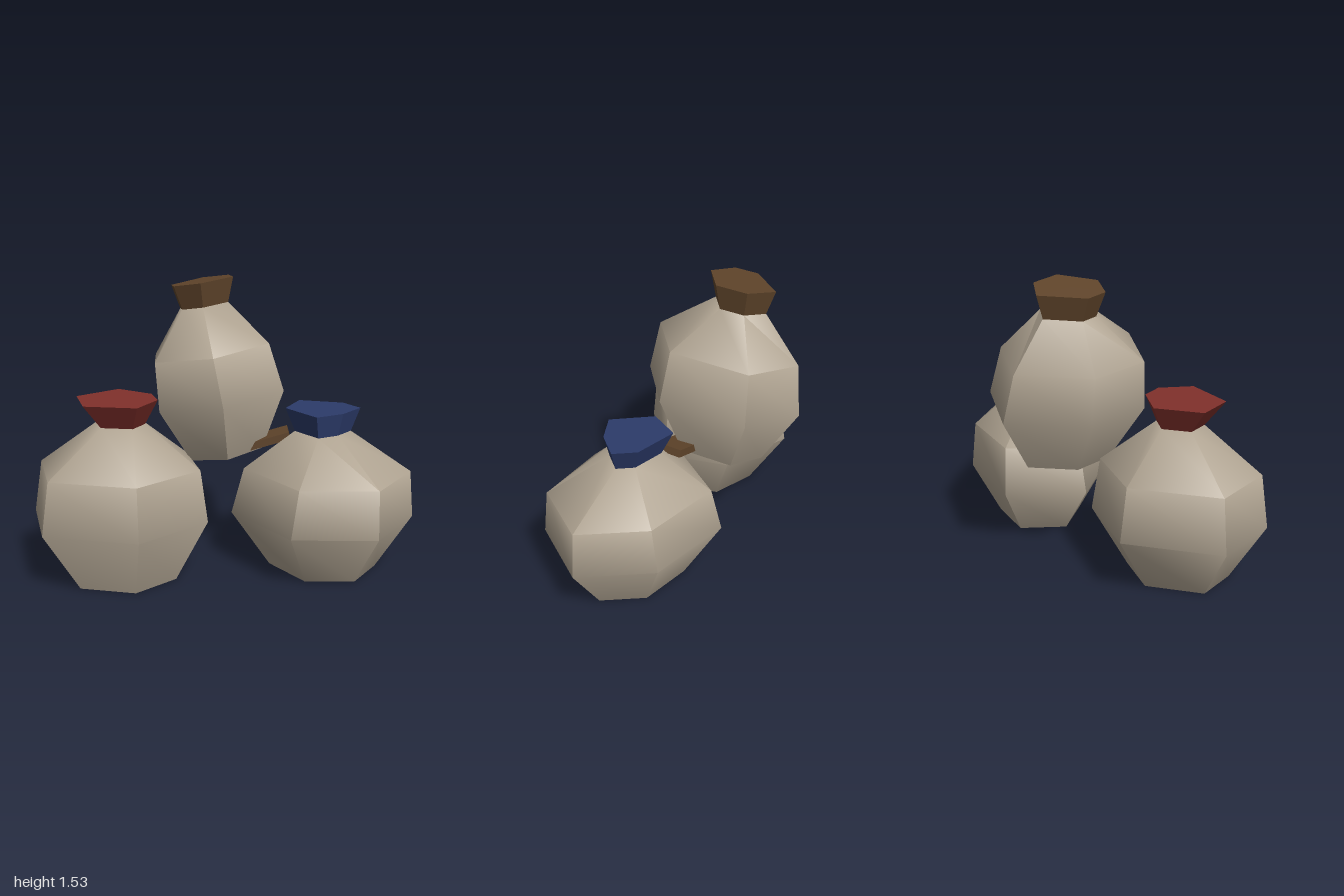
import * as THREE from 'three';
import { toCreasedNormals } from 'three/addons/utils/BufferGeometryUtils.js';

const paint = (name, color, flatShading = false) => {
  const m = new THREE.MeshStandardMaterial({ color, flatShading });
  m.name = name;
  return m;
};

// Scale a hexagon of [x, z] corners about a hub, then slide it along x
const shrink = (hex, s, [cx, cz], slide = 0) =>
  hex.map(([x, z]) => [cx + (x - cx) * s + slide, cz + (z - cz) * s]);

// Skin a stack of rings { hex, y }, closing both ends; lean slopes every ring
function loft(rings, [leanX, leanZ], crease) {
  const loops = rings.map(({ hex, y }) =>
    hex.map(([x, z]) => new THREE.Vector3(x, y + leanX * x + leanZ * z, z)));
  const pos = [];
  const tri = (...pts) => pts.forEach((p) => pos.push(p.x, p.y, p.z));
  const centre = (loop) =>
    loop.reduce((s, p) => s.add(p), new THREE.Vector3()).divideScalar(loop.length);
  const first = loops[0], last = loops[loops.length - 1];
  const low = centre(first), high = centre(last);
  for (let i = 0; i < 6; i++) {
    const j = (i + 1) % 6;
    for (let k = 0; k < loops.length - 1; k++) {
      const a = loops[k], b = loops[k + 1];
      tri(a[i], b[j], a[j]);
      tri(a[i], b[i], b[j]);
    }
    tri(low, first[i], first[j]);
    tri(high, last[j], last[i]);
  }
  const g = new THREE.BufferGeometry();
  g.setAttribute('position', new THREE.Float32BufferAttribute(pos, 3));
  return toCreasedNormals(g, crease);
}

// One sack: a waist and a mouth hexagon give the base, shoulder and neck
function makeSack(name, cloth, mouthCloth, { waist, rim, hub, mouthHub, pinch, heights, slide, lean }) {
  const hexes = [
    shrink(waist, 0.59, hub),
    waist,
    shrink(waist, 0.91, hub, slide),
    shrink(rim, pinch, mouthHub),
    rim,
  ];
  const rings = hexes.map((hex, i) => ({ hex, y: heights[i] }));
  const body = new THREE.Mesh(loft(rings.slice(0, 4), lean, 0.9), cloth);
  body.name = 'sackBody';
  const mouth = new THREE.Mesh(loft(rings.slice(3), lean, 0.1), mouthCloth);
  mouth.name = 'sackMouth';
  const sack = new THREE.Group();
  sack.name = name;
  sack.add(body, mouth);
  return sack;
}

export function createModel() {
  const model = new THREE.Group();
  model.name = 'sackPile';
  const cloth = paint('sackCloth', 0xb0a492);
  const red = paint('redCloth', 0x80302b, true);
  const blue = paint('blueCloth', 0x2c3b6a, true);
  const brown = paint('brownCloth', 0x60452b, true);

  // Hexagons run right, front right, front left, left, back left, back right
  model.add(makeSack('leftSack', cloth, blue, {
    waist: [[1, 0.08], [0.78, 0.43], [0.34, 0.43], [0.04, 0.04], [0.28, -0.33], [0.75, -0.25]],
    rim: [[0.71, 0.03], [0.61, 0.15], [0.47, 0.22], [0.32, 0.04], [0.4, -0.12], [0.63, -0.07]],
    hub: [0.54, 0.07], mouthHub: [0.52, 0.09], pinch: 0.75,
    heights: [0, 0.29, 0.54, 0.75, 0.87], slide: 0.02, lean: [0, 0],
  }));

  model.add(makeSack('rightSack', cloth, red, {
    waist: [[-0.08, 0.26], [-0.41, 0.56], [-0.9, 0.47], [-1, 0.09], [-0.59, -0.23], [-0.18, -0.09]],
    rim: [[-0.33, 0.22], [-0.42, 0.38], [-0.69, 0.35], [-0.75, 0.15], [-0.55, 0], [-0.37, 0.1]],
    hub: [-0.49, 0.26], mouthHub: [-0.5, 0.18], pinch: 0.6,
    heights: [0, 0.32, 0.6, 0.83, 0.96], slide: 0, lean: [0, 0],
  }));

  model.add(makeSack('topSack', cloth, brown, {
    waist: [[0.31, 0.02], [0, 0.29], [-0.33, 0.13], [-0.35, -0.22], [-0.08, -0.56], [0.24, -0.43]],
    rim: [[0.045, -0.14], [-0.12, -0.01], [-0.26, -0.07], [-0.28, -0.19], [-0.12, -0.38], [0.02, -0.3]],
    hub: [0.05, -0.13], mouthHub: [-0.07, -0.18], pinch: 0.78,
    heights: [0.6, 0.91, 1.17, 1.4, 1.53], slide: -0.055, lean: [0.15, 0.065],
  }));

  // Small brown wedge tucked under the top sack
  const wedge = new THREE.Mesh(new THREE.BoxGeometry(0.36, 0.04, 0.14), brown);
  wedge.name = 'supportWedge';
  wedge.position.set(0.17, 0.66, -0.05);
  wedge.rotation.z = 0.29;
  model.add(wedge);

  return model;
}
